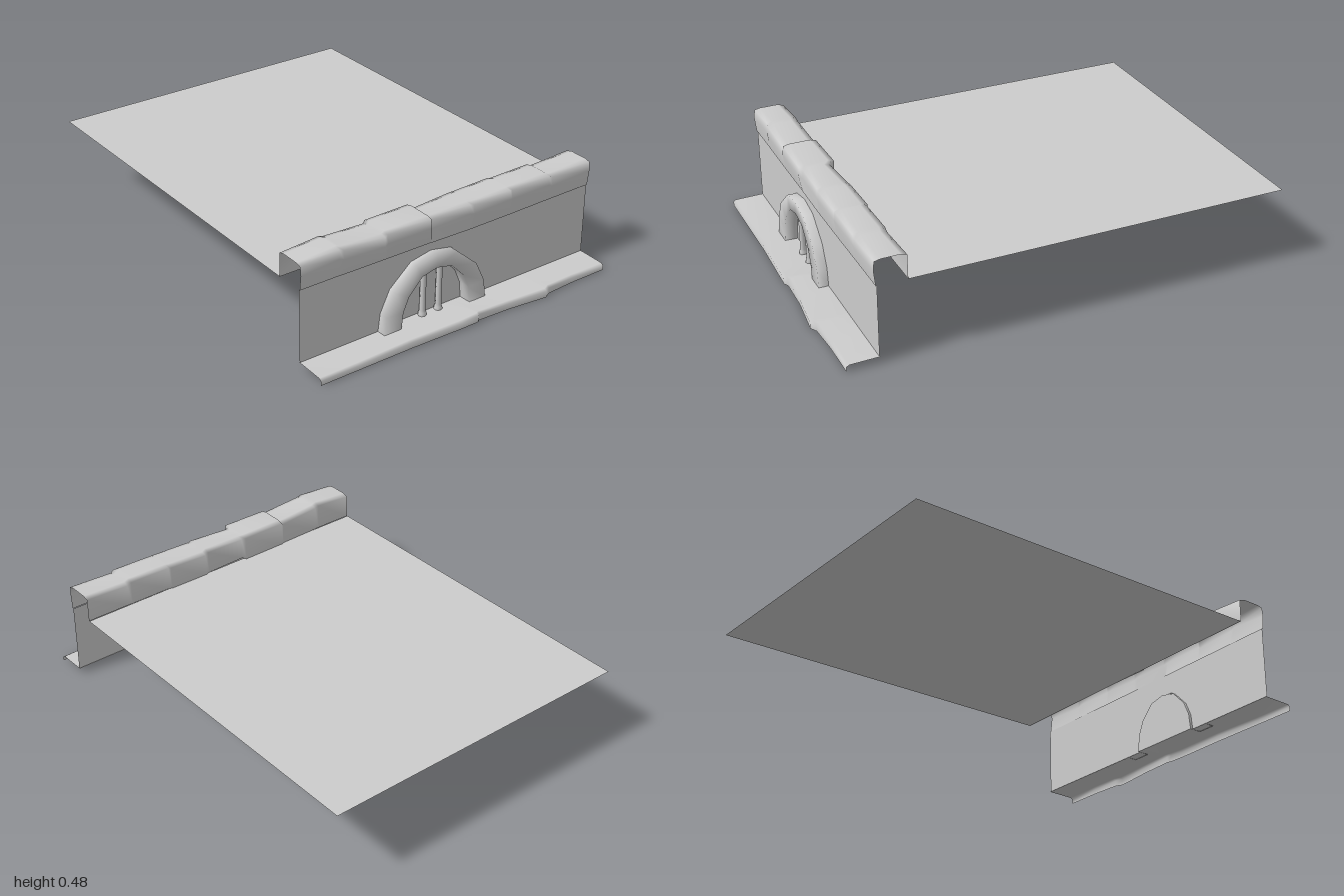
import * as THREE from 'three';

const stone = new THREE.MeshStandardMaterial({ color: 0xcccccc, side: THREE.DoubleSide });
stone.name = 'grey stone';

// Smooth open sheet through a row of cross-sections, each a list of [x, y, z]
function loft(name, sections) {
  const n = sections[0].length, index = [];
  for (let i = 0; i < sections.length - 1; i++) {
    for (let j = 0; j < n - 1; j++) {
      const a = i * n + j, b = a + n;
      index.push(a, b, a + 1, b, b + 1, a + 1);
    }
  }
  const geometry = new THREE.BufferGeometry();
  geometry.setAttribute('position', new THREE.Float32BufferAttribute(sections.flat(2), 3));
  geometry.setIndex(index);
  geometry.computeVertexNormals();
  return part(name, geometry);
}

function part(name, geometry) {
  const mesh = new THREE.Mesh(geometry, stone);
  mesh.name = name;
  return mesh;
}

export function createModel() {
  const model = new THREE.Group();
  model.name = 'canalWall';
  const W = 0.74, wallZ = 0.836, recessZ = 0.822;

  // Flat ground behind the wall
  const ground = new THREE.PlaneGeometry(2 * W, 1.705).rotateX(-Math.PI / 2);
  ground.translate(0, 0.352, -0.1475);
  model.add(part('ground', ground));

  // Worn coping: [x, top height, back z, front z, lower edge height]
  const coping = [
    [-0.74, 0.465, 0.705, 0.848, 0.355], [-0.56, 0.478, 0.705, 0.848, 0.355],
    [-0.54, 0.471, 0.704, 0.85, 0.354], [-0.34, 0.459, 0.698, 0.848, 0.352],
    [-0.33, 0.469, 0.693, 0.85, 0.352], [-0.115, 0.469, 0.69, 0.853, 0.351],
    [-0.105, 0.457, 0.71, 0.838, 0.35], [0.09, 0.465, 0.703, 0.846, 0.346],
    [0.11, 0.46, 0.696, 0.847, 0.346], [0.3, 0.466, 0.698, 0.848, 0.347],
    [0.31, 0.466, 0.704, 0.848, 0.347], [0.51, 0.469, 0.704, 0.85, 0.35],
    [0.53, 0.459, 0.705, 0.848, 0.35], [0.74, 0.468, 0.705, 0.848, 0.352],
  ];
  model.add(loft('coping', coping.map(([x, top, back, front, low]) => [
    [x, low, wallZ + 0.004], [x, top - 0.045, front], [x, top - 0.006, front - 0.004],
    [x, top, front - 0.03], [x, top, back + 0.03], [x, top - 0.008, back + 0.003],
    [x, 0.352, back + 0.002],
  ])));

  // Ledge at the foot: [x, top height, front z, bottom height]
  const ledge = [
    [-0.74, 0.028, 0.975, 0], [-0.55, 0.028, 0.975, 0], [-0.3, 0.035, 0.976, 0.001],
    [-0.05, 0.038, 0.986, 0.004], [0.03, 0.045, 0.99, 0.008], [0.045, 0.04, 0.977, 0.004],
    [0.2, 0.034, 0.979, 0], [0.39, 0.037, 1, 0], [0.42, 0.035, 0.983, 0],
    [0.56, 0.031, 0.975, 0], [0.74, 0.028, 0.975, 0],
  ];
  model.add(loft('ledge', ledge.map(([x, top, front, low]) => [
    [x, low, front], [x, top - 0.008, front], [x, top, front - 0.012], [x, 0.03, wallZ - 0.004],
  ])));

  // Half of the arch: [outer offset, outer y, inner offset, inner y]
  const half = [
    [0.26, 0.03, 0.176, 0.03], [0.25, 0.11, 0.168, 0.105], [0.205, 0.205, 0.14, 0.17],
    [0.102, 0.295, 0.075, 0.238], [0, 0.315, 0, 0.255],
  ];
  const cx = -0.102;
  const arch = [
    ...half.map(([o, oy, i, iy]) => [cx - o, oy, cx - i, iy]),
    ...half.slice(0, 4).reverse().map(([o, oy, i, iy]) => [cx + o, oy, cx + i, iy]),
  ];
  model.add(loft('archSurround', arch.map(([ox, oy, ix, iy]) => [
    [ox, oy, wallZ], [ox, oy, 0.88], [ix, iy, 0.88], [ix, iy, wallZ],
  ])));

  // Wall with the opening cut out
  const inner = arch.map(([, , x, y]) => new THREE.Vector2(x, y));
  const outline = [[-W, 0.03], [-W, 0.356], [W, 0.352], [W, 0.03]];
  const wallShape = new THREE.Shape([
    ...outline.map(([x, y]) => new THREE.Vector2(x, y)), ...inner.slice().reverse(),
  ]);
  model.add(part('wall', new THREE.ShapeGeometry(wallShape).translate(0, 0, wallZ)));

  // Shallow recess behind the arch
  model.add(part('recessBack',
    new THREE.ShapeGeometry(new THREE.Shape(inner)).translate(0, 0, recessZ)));
  model.add(loft('recessRim', inner.map(({ x, y }) => [[x, y, wallZ], [x, y, recessZ]])));
  const sill = new THREE.PlaneGeometry(0.352, wallZ - recessZ).rotateX(-Math.PI / 2);
  model.add(part('recessSill', sill.translate(cx, 0.03, (wallZ + recessZ) / 2)));

  // Two upright bars with flared ends
  const profile = [[0.018, 0.032], [0.017, 0.045], [0.013, 0.055], [0.013, 0.22],
    [0.018, 0.235], [0.018, 0.25]].map(([r, y]) => new THREE.Vector2(r, y));
  for (const x of [-0.143, -0.061]) {
    model.add(part('bar', new THREE.LatheGeometry(profile, 8).translate(x, 0, 0.843)));
  }
  return model;
}
